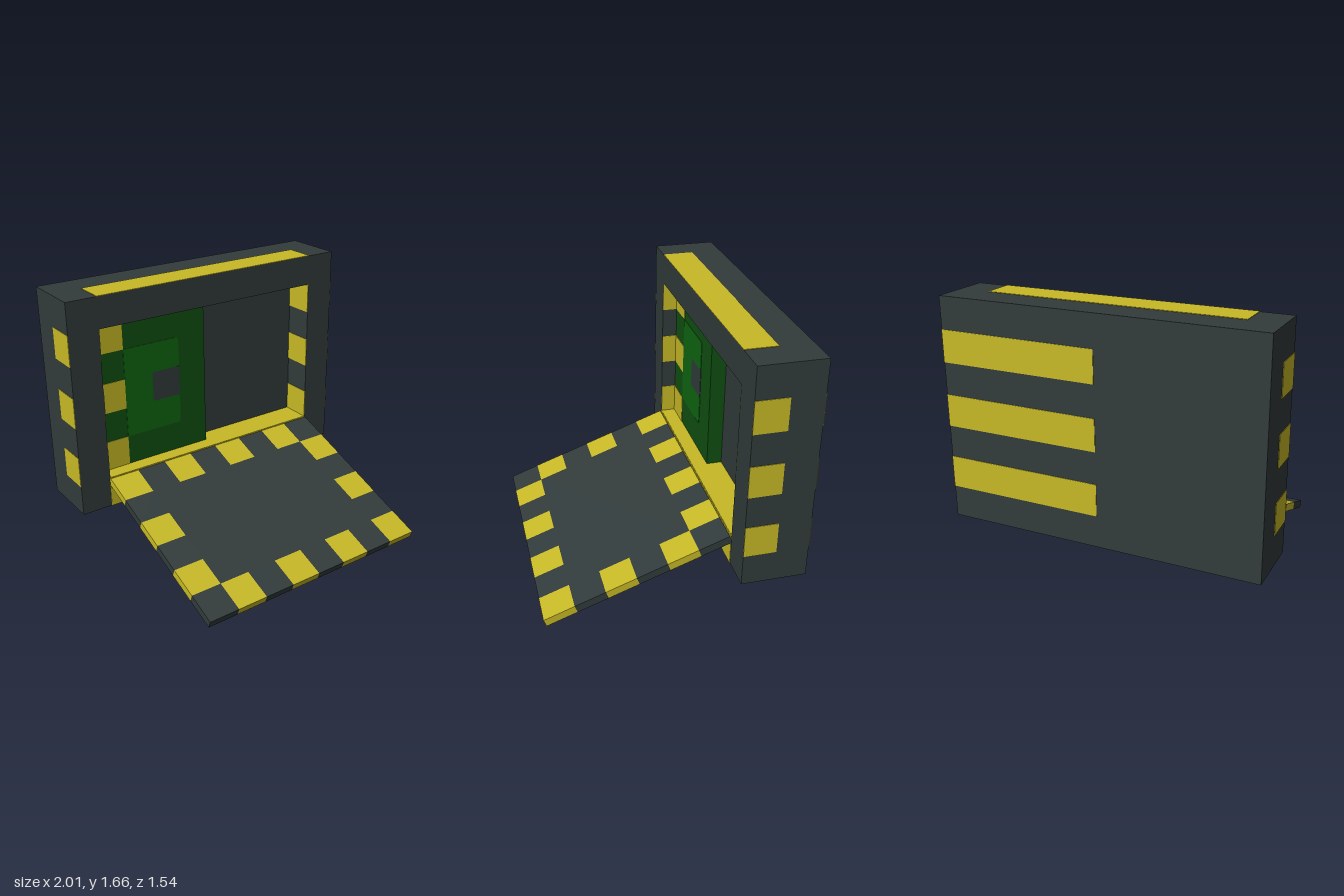
import * as THREE from 'three';

const mat = (name, color) => new THREE.MeshStandardMaterial({ name, color });

export function createModel() {
  const dark = mat('charcoal', 0x323b3b);
  const yellow = mat('hazardYellow', 0xc8ba26);
  const green = mat('boardGreen', 0x0f5010);
  const lightGreen = mat('traceGreen', 0x0f6611);

  const root = new THREE.Group();
  root.name = 'wallHatch';

  // box given by its two opposite corners
  const box = (parent, name, material, [x0, y0, z0], [x1, y1, z1]) => {
    const mesh = new THREE.Mesh(new THREE.BoxGeometry(x1 - x0, y1 - y0, z1 - z0), material);
    mesh.position.set((x0 + x1) / 2, (y0 + y1) / 2, (z0 + z1) / 2);
    mesh.name = name;
    parent.add(mesh);
    return mesh;
  };

  const T = 0.003; // paint thickness
  const zBack = -0.769, zMid = -0.569, zPanel = -0.469, zFront = -0.369;

  // Casing: y runs from 0 to 1.4 inside this group
  const casing = new THREE.Group();
  casing.name = 'casing';
  casing.position.y = 0.257;
  root.add(casing);

  box(casing, 'backPlate', dark, [-1, 0, zBack], [1, 1.4, zMid]);

  // Front frame around the opening
  const rect = (P, x0, y0, x1, y1) => new P().moveTo(x0, y0).lineTo(x1, y0).lineTo(x1, y1).lineTo(x0, y1).closePath();
  const outline = rect(THREE.Shape, -1, 0, 1, 1.4);
  outline.holes.push(rect(THREE.Path, -0.8, 0.2, 0.8, 1.2));
  const frame = new THREE.Mesh(
    new THREE.ExtrudeGeometry(outline, { depth: zFront - zMid, bevelEnabled: false }), dark);
  frame.name = 'frontFrame';
  frame.position.z = zMid;
  casing.add(frame);

  // Yellow bands on the top, the sill and below the opening
  box(casing, 'topBand', yellow, [-0.8, 1.4, zMid], [0.8, 1.4 + T, zFront]);
  box(casing, 'sillBand', yellow, [-0.8, 0.2, zMid], [0.8, 0.2 + T, zFront]);
  box(casing, 'lowerFrontBand', yellow, [-0.8, 0, zFront], [0.8, 0.2, zFront + T]);

  // Circuit panel in the left half of the opening
  box(casing, 'circuitPanel', green, [-0.8, 0.2, zMid], [0, 1.2, zPanel]);

  // Three rows of yellow marks
  for (const y of [0.2, 0.6, 1.0]) {
    for (const s of [-1, 1]) {
      const span = (a, b) => [Math.min(s * a, s * b), Math.max(s * a, s * b)];
      const [o0, o1] = span(1, 1 + T);
      box(casing, 'outerSideMark', yellow, [o0, y, zMid], [o1, y + 0.2, zFront]);
      const [i0, i1] = span(0.8 - T, 0.8);
      box(casing, 'innerSideMark', yellow, [i0, y, zMid], [i1, y + 0.2, zFront]);
    }
    box(casing, 'backStripe', yellow, [0, y, zBack - T], [1, y + 0.2, zBack]);
    box(casing, 'panelMark', yellow, [-0.8, y, zPanel], [-0.6, y + 0.2, zPanel + T]);
  }

  // C-shaped trace with softened right-hand corners, and the chip in its notch
  const r = 0.025;
  const trace = new THREE.Shape();
  trace.moveTo(-0.6, 0.4).lineTo(-0.2 - r, 0.4).quadraticCurveTo(-0.2, 0.4, -0.2, 0.4 + r)
    .lineTo(-0.2, 0.6 - r).quadraticCurveTo(-0.2, 0.6, -0.2 - r, 0.6)
    .lineTo(-0.4, 0.6).lineTo(-0.4, 0.8)
    .lineTo(-0.2 - r, 0.8).quadraticCurveTo(-0.2, 0.8, -0.2, 0.8 + r)
    .lineTo(-0.2, 1 - r).quadraticCurveTo(-0.2, 1, -0.2 - r, 1)
    .lineTo(-0.6, 1).closePath();
  const traceMesh = new THREE.Mesh(
    new THREE.ExtrudeGeometry(trace, { depth: T, bevelEnabled: false, curveSegments: 4 }), lightGreen);
  traceMesh.name = 'circuitTrace';
  traceMesh.position.z = zPanel;
  casing.add(traceMesh);
  box(casing, 'chip', dark, [-0.4, 0.6, zPanel], [-0.2, 0.8, zPanel + T]);

  // Door: lies along local +z from the hinge, tipped down 20 degrees
  const door = new THREE.Group();
  door.name = 'foldDownDoor';
  door.position.set(0, 0.457, -0.359);
  door.rotation.x = THREE.MathUtils.degToRad(20);
  root.add(door);

  const thick = 0.05, tile = 0.2, cols = 8, rows = 6;
  box(door, 'doorCentre', dark, [-0.6, -thick, 0.2], [0.6, 0, 1.0]);
  // Chequered border tiles
  for (let i = 0; i < cols; i++) {
    for (let j = 0; j < rows; j++) {
      if (i > 0 && i < cols - 1 && j > 0 && j < rows - 1) continue;
      const x = -0.8 + i * tile, z = j * tile;
      box(door, 'borderTile', (i + j) % 2 ? dark : yellow, [x, -thick, z], [x + tile, 0, z + tile]);
    }
  }
  // Raised pad on the underside
  box(door, 'doorPad', dark, [-0.2, -0.085, 0.4], [0.2, -thick, 0.8]);

  return root;
}
